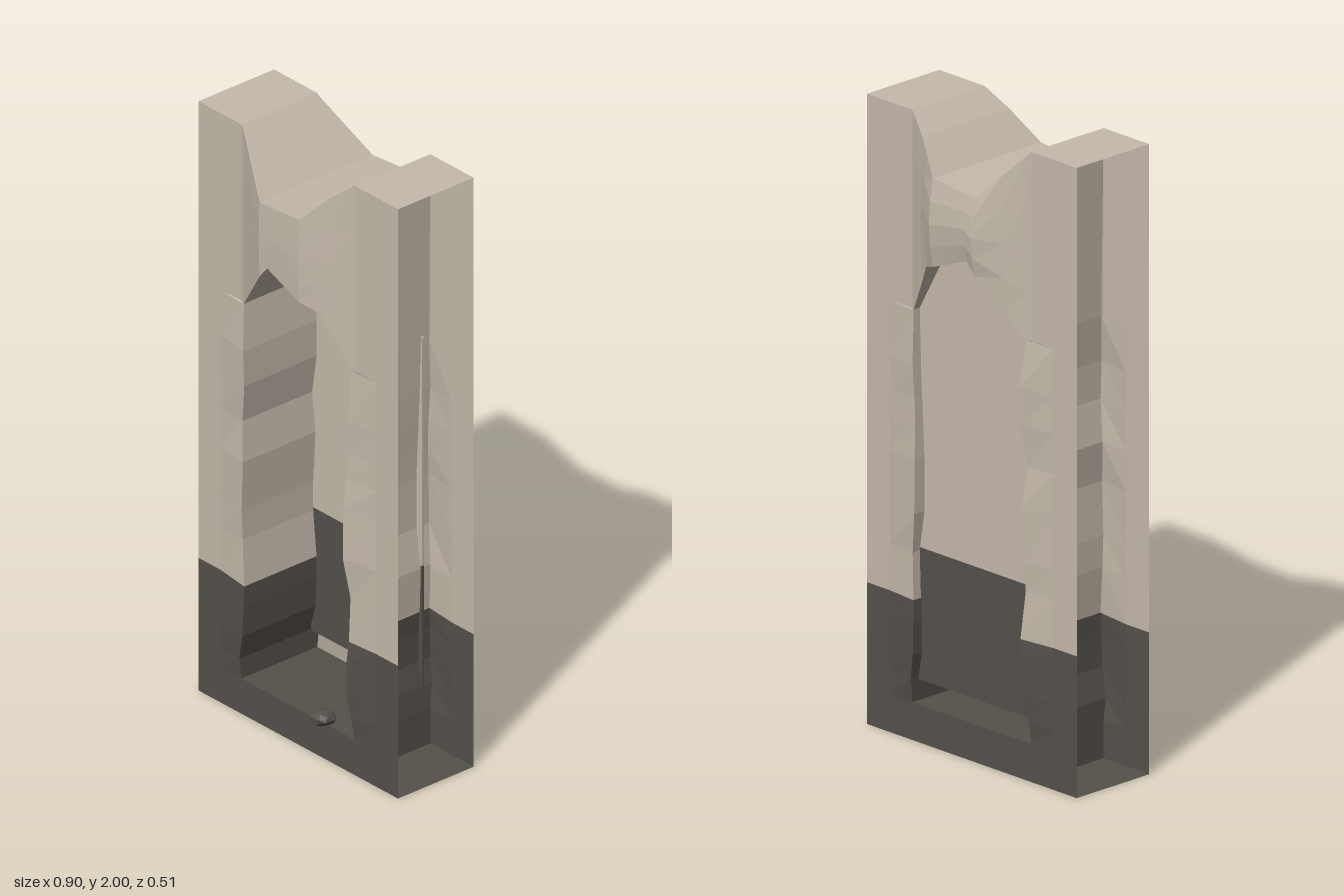
import * as THREE from 'three';

const stone = new THREE.MeshStandardMaterial({ color: 0xc4b9ab, flatShading: true, side: THREE.DoubleSide });
stone.name = 'pale stone';
const darkStone = new THREE.MeshStandardMaterial({ color: 0x55504a, flatShading: true, side: THREE.DoubleSide });
darkStone.name = 'dark stone';

const FRONT = 0.135, BACK = -0.165, HALF = 0.45, SPLIT = 0.45;

// Worn doorway edges, from the sill up to the spring of the arch
const leftJamb = [[0.255, 0.12], [0.25, 0.2], [0.235, 0.28], [0.235, 0.38], [0.24, 0.45], [0.245, 0.6],
  [0.225, 0.73], [0.225, 0.9], [0.23, 1.0], [0.235, 1.09], [0.24, 1.2], [0.245, 1.37]];
const rightJamb = [[-0.255, 0.12], [-0.255, 0.19], [-0.23, 0.28], [-0.225, 0.38], [-0.225, 0.45], [-0.24, 0.6],
  [-0.24, 0.7], [-0.23, 0.87], [-0.245, 1.0], [-0.225, 1.13], [-0.225, 1.25], [-0.24, 1.4]];
const arch = [[-0.45, 1.4], [-0.24, 1.4], [-0.055, 1.62], [0.15, 1.54], [0.245, 1.37], [0.45, 1.37]];
const saddle = [[-0.45, 2], [-0.255, 2], [-0.09, 1.83], [0.09, 1.845], [0.18, 1.94], [0.255, 2], [0.45, 2]];
const swell = [[-0.45, 0], [-0.25, 0], [-0.09, 1], [0.09, 1], [0.18, 0.4], [0.255, 0], [0.45, 0]];

// Piecewise linear lookup
function lookup(points, x) {
  for (let i = 1; i < points.length; i++) {
    const [x0, y0] = points[i - 1], [x1, y1] = points[i];
    if (x <= x1) return y0 + (y1 - y0) * (x - x0) / (x1 - x0);
  }
  return points[points.length - 1][1];
}

// Point on the front (s = 1) or back (s = -1) skin, with lintel swelling and worn edges
function skin(x, y, s, extra = 0) {
  const worn = Math.abs(x) < 0.3 && y > 0.15 && y < 1.36 ? 0.01 * Math.abs(Math.sin(y * 6)) : 0;
  const lift = lookup(swell, x) * (0.075 + extra) + worn;
  return [x, y, s > 0 ? FRONT + lift : BACK - lift];
}

// Collects quads and sorts them into the two colours by height
function quadMesh(name, build) {
  const lists = [[], []];
  build((a, b, c, d) => {
    const dark = (a[1] + b[1] + c[1] + d[1]) / 4 < SPLIT;
    lists[dark ? 1 : 0].push(...a, ...b, ...c, ...a, ...c, ...d);
  });
  const group = new THREE.Group();
  group.name = name;
  lists.forEach((list, i) => {
    if (!list.length) return;
    const geo = new THREE.BufferGeometry();
    geo.setAttribute('position', new THREE.Float32BufferAttribute(list, 3));
    geo.computeVertexNormals();
    const mesh = new THREE.Mesh(geo, i ? darkStone : stone);
    mesh.name = name + (i ? 'Base' : 'Upper');
    group.add(mesh);
  });
  return group;
}

export function createModel() {
  const model = new THREE.Group();
  model.name = 'stoneDoorway';
  const columns = [-0.45, -0.255, -0.24, -0.17, -0.09, -0.055, 0, 0.09, 0.15, 0.18, 0.245, 0.255, 0.45];

  for (const s of [1, -1]) {
    model.add(quadMesh(s > 0 ? 'frontFace' : 'backFace', (add) => {
      const quad = (a, b, c, d) => (s > 0 ? add(a, b, c, d) : add(d, c, b, a));
      // Sill
      quad(skin(-HALF, 0, s), skin(HALF, 0, s), skin(HALF, 0.12, s), skin(-HALF, 0.12, s));
      // Posts
      for (const [jamb, side] of [[leftJamb, 1], [rightJamb, -1]]) {
        for (let i = 1; i < jamb.length; i++) {
          const rows = [jamb[i - 1], jamb[i]].map(([x, y]) =>
            [x, side * 0.35, side * HALF].map((px) => skin(px, y, s)));
          for (let k = 0; k < 2; k++) {
            const q = [rows[0][k], rows[0][k + 1], rows[1][k + 1], rows[1][k]];
            quad(...(side > 0 ? q : q.reverse()));
          }
        }
      }
      // Lintel
      const at = (x, t) => {
        const low = lookup(arch, x), high = lookup(saddle, x);
        return skin(x, low + (high - low) * t, s, (s < 0 ? 0.017 : 0.003) * Math.sin(Math.PI * t));
      };
      for (let i = 1; i < columns.length; i++) {
        for (let k = 0; k < 4; k++) {
          const x0 = columns[i - 1], x1 = columns[i], t0 = k / 4, t1 = (k + 1) / 4;
          quad(at(x0, t0), at(x1, t0), at(x1, t1), at(x0, t1));
        }
      }
    }));
  }

  // Strip running from the front skin to the back skin along an outline
  const depthStrip = (name, points) => quadMesh(name, (add) => {
    for (let i = 1; i < points.length; i++) {
      const [a, b] = [points[i - 1], points[i]];
      add(skin(...a, 1), skin(...b, 1), skin(...b, -1), skin(...a, -1));
    }
  });
  const archPoints = columns.filter((x) => x > -0.24 && x < 0.245).map((x) => [x, lookup(arch, x)]);
  model.add(depthStrip('doorwayReveal',
    [...rightJamb, ...archPoints, ...[...leftJamb].reverse(), rightJamb[0]]));
  model.add(depthStrip('topSaddle', columns.map((x) => [x, lookup(saddle, x)])));
  model.add(depthStrip('underside', [[HALF, 0], [-HALF, 0]]));

  // Inner walls of the open-sided posts, above and below the doorway
  for (const [side, jamb] of [[1, leftJamb], [-1, rightJamb]]) {
    model.add(depthStrip('postInnerWallLow', [[side * 0.255, 0], jamb[0]]));
    model.add(depthStrip('postInnerWallHigh', [jamb[jamb.length - 1], [side * 0.255, 2]]));
  }

  // Thin door panel set near the back
  const panel = (name, points, material) => {
    const shape = new THREE.Shape(points.map(([x, y]) => new THREE.Vector2(x, y)));
    const mesh = new THREE.Mesh(new THREE.ExtrudeGeometry(shape, { depth: 0.008, bevelEnabled: false }), material);
    mesh.position.z = -0.144;
    mesh.name = name;
    model.add(mesh);
  };
  panel('doorPanelBase', [[-0.25, 0.19], [0.25, 0.19], [0.25, 0.61], [-0.25, 0.61]], darkStone);
  panel('doorPanelUpper', [[-0.25, 0.61], [0.25, 0.61], [0.25, 1.38], [0.155, 1.55], [-0.055, 1.63], [-0.25, 1.42]], stone);

  // Door knob
  const knob = new THREE.Mesh(new THREE.IcosahedronGeometry(0.042, 1), darkStone);
  const p = knob.geometry.attributes.position;
  for (let i = 0; i < p.count; i++) {
    const k = 0.93 + 0.07 * Math.sin(p.getX(i) * 140 + p.getY(i) * 90 + p.getZ(i) * 110);
    p.setXYZ(i, p.getX(i) * k, p.getY(i) * k * 0.6, p.getZ(i) * k);
  }
  knob.geometry.computeVertexNormals();
  knob.position.set(0.205, 0.207, 0.217);
  knob.name = 'knob';
  model.add(knob);

  return model;
}
